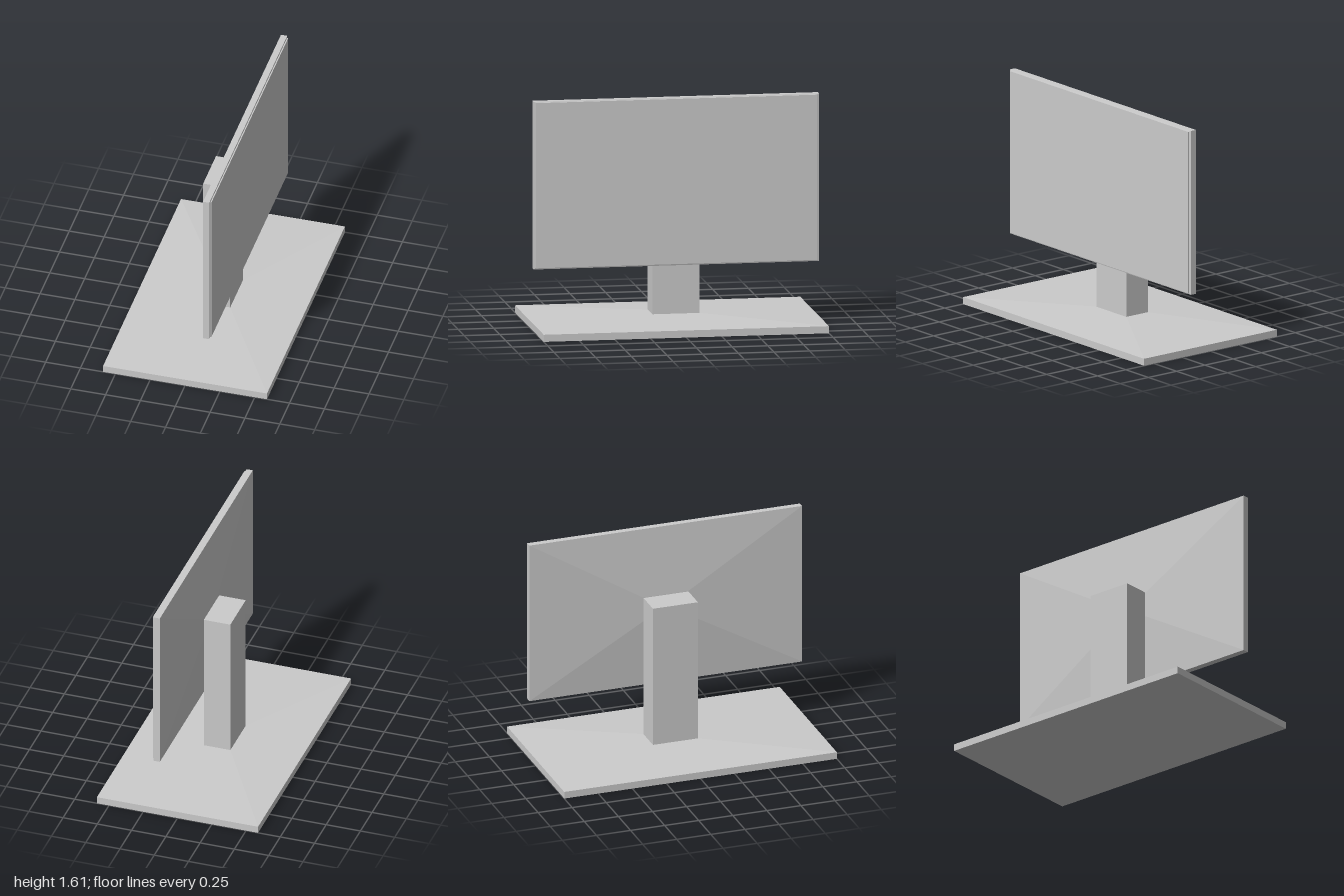
import * as THREE from 'three';

const material = new THREE.MeshStandardMaterial({ color: 0xcccccc, flatShading: true });

// Rectangle at height y, counter-clockwise seen from above
const levelRect = (y, x0, x1, z0, z1) => [[x0, y, z1], [x1, y, z1], [x1, y, z0], [x0, y, z0]];

// Upright rectangle at position x, counter-clockwise seen from +x
const uprightRect = (x, y0, y1, z0, z1) => [[x, y0, z1], [x, y0, z0], [x, y1, z0], [x, y1, z1]];

// Closed solid through a row of rectangles
function loft(name, sections) {
  const pos = [];
  const quad = (a, b, c, d) => pos.push(...a, ...b, ...c, ...a, ...c, ...d);
  const first = sections[0];
  const last = sections[sections.length - 1];
  for (let s = 0; s < sections.length - 1; s++) {
    const lo = sections[s];
    const hi = sections[s + 1];
    for (let i = 0; i < 4; i++) {
      const j = (i + 1) % 4;
      quad(lo[i], lo[j], hi[j], hi[i]);
    }
  }
  quad(first[3], first[2], first[1], first[0]);
  quad(...last);
  const geometry = new THREE.BufferGeometry();
  geometry.setAttribute('position', new THREE.Float32BufferAttribute(pos, 3));
  geometry.computeVertexNormals();
  const mesh = new THREE.Mesh(geometry, material);
  mesh.name = name;
  return mesh;
}

export function createModel() {
  const group = new THREE.Group();
  group.name = 'monitor';

  // Base plate rising gently to the foot of the column
  group.add(loft('base', [
    levelRect(0, -0.588, 0.588, -1, 1),
    levelRect(0.05, -0.588, 0.588, -1, 1),
    levelRect(0.08, -0.107, 0.087, -0.178, 0.152),
  ]));

  // Column
  group.add(loft('column', [
    levelRect(0.08, -0.107, 0.087, -0.178, 0.152),
    levelRect(1.11, -0.107, 0.087, -0.178, 0.152),
  ]));

  // Housing: tapered back, straight rim, slightly sloped bezel
  group.add(loft('housing', [
    uprightRect(0.094, 0.93, 1.11, -0.178, 0.152),
    uprightRect(0.129, 0.435, 1.612, -1, 1),
    uprightRect(0.174, 0.435, 1.612, -1, 1),
    uprightRect(0.177, 0.445, 1.604, -0.985, 0.985),
  ]));

  // Screen standing slightly proud of the bezel
  group.add(loft('screen', [
    uprightRect(0.174, 0.445, 1.604, -0.985, 0.985),
    uprightRect(0.185, 0.445, 1.604, -0.985, 0.985),
  ]));

  return group;
}
